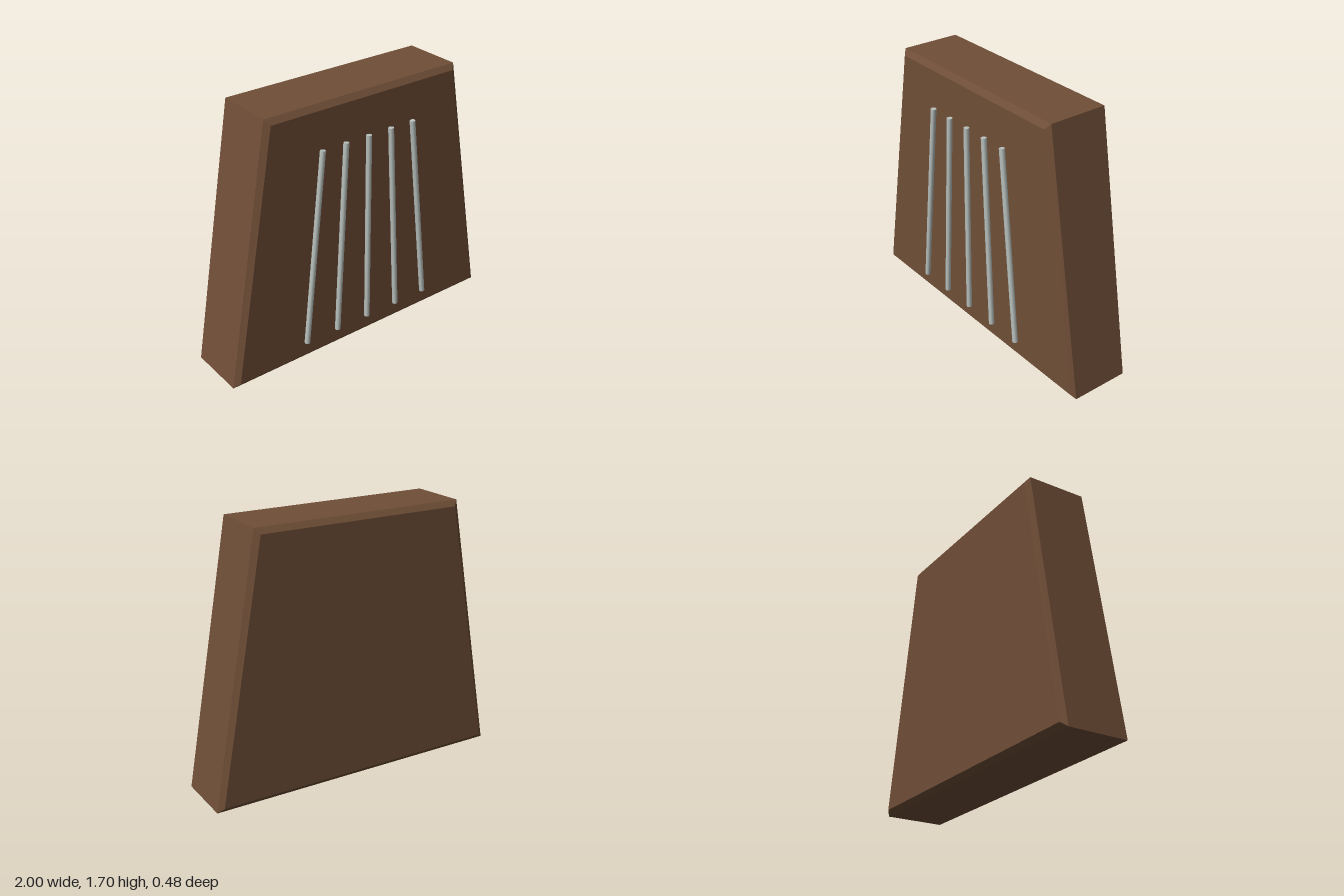
import * as THREE from 'three';

export function createModel() {
  const group = new THREE.Group();
  const wood = new THREE.MeshStandardMaterial({ color: 0x6f4e37, flatShading: true });
  const metal = new THREE.MeshStandardMaterial({ color: 0xb8c0bc });

  // Tapered body with chamfered front and back edges
  const outline = new THREE.Shape([
    new THREE.Vector2(-1, 0),
    new THREE.Vector2(1, 0),
    new THREE.Vector2(0.7, 1.7),
    new THREE.Vector2(-0.7, 1.7),
  ]);
  const bevel = 0.035, chamferDepth = 0.027, back = -0.24, front = 0.2;
  const bodyGeometry = new THREE.ExtrudeGeometry(outline, {
    depth: front - back - 2 * chamferDepth,
    bevelEnabled: true,
    bevelSegments: 1,
    bevelSize: bevel,
    bevelOffset: -bevel,
    bevelThickness: chamferDepth,
  });
  bodyGeometry.translate(0, 0, back + chamferDepth);
  const body = new THREE.Mesh(bodyGeometry, wood);
  body.name = 'body';
  group.add(body);

  // Five strings fanning out towards the bottom
  const strings = new THREE.Group();
  strings.name = 'strings';
  const up = new THREE.Vector3(0, 1, 0);
  for (let i = -2; i <= 2; i++) {
    const bottom = new THREE.Vector3(i * 0.239, 0.133, 0.221);
    const top = new THREE.Vector3(i * 0.169, 1.427, 0.221);
    const direction = top.clone().sub(bottom);
    const string = new THREE.Mesh(
      new THREE.CylinderGeometry(0.018, 0.018, direction.length(), 8), metal);
    string.position.copy(bottom).add(top).multiplyScalar(0.5);
    string.quaternion.setFromUnitVectors(up, direction.normalize());
    string.name = 'string';
    strings.add(string);
  }
  group.add(strings);

  return group;
}
